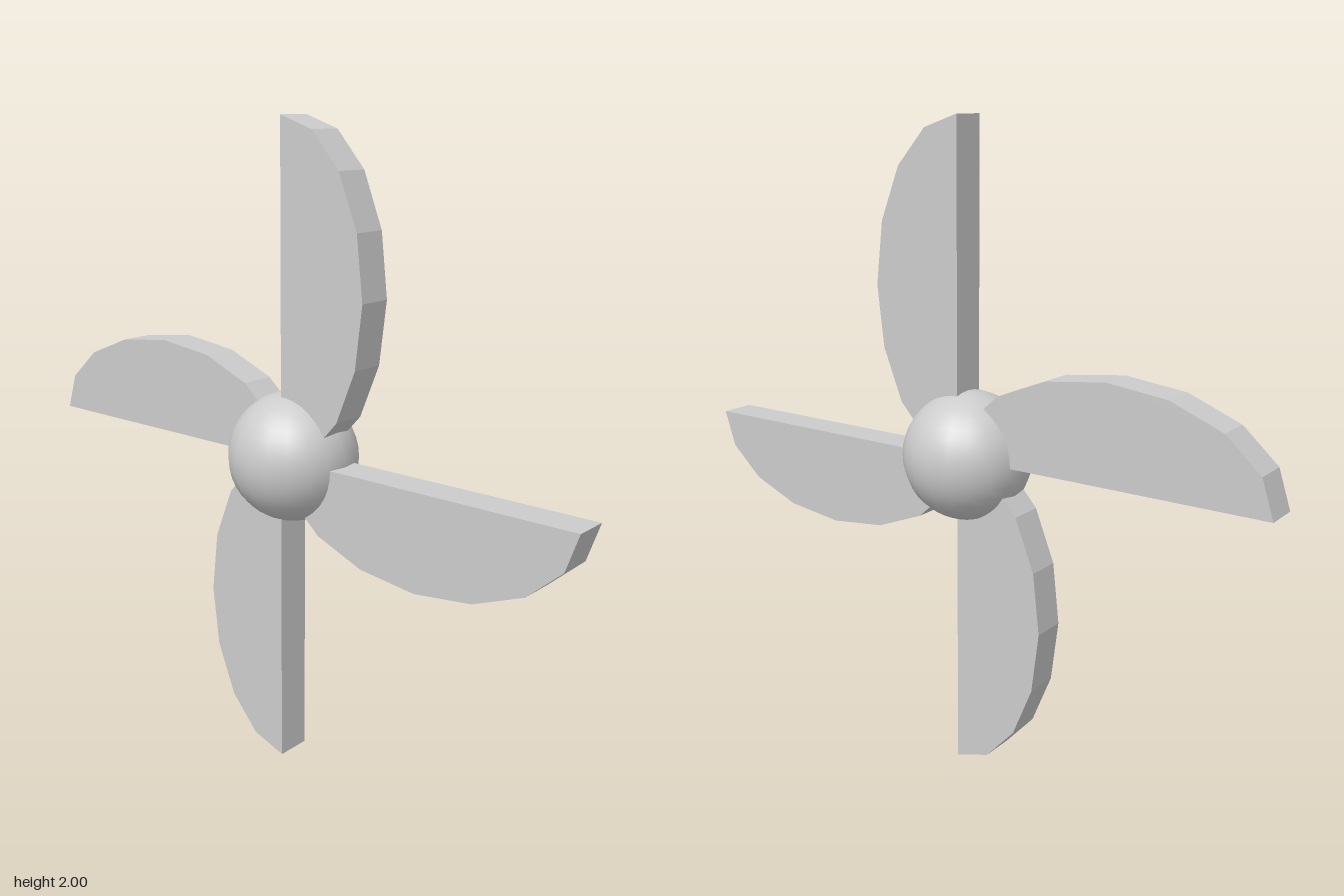
import * as THREE from 'three';

export function createModel() {
  const group = new THREE.Group();
  const material = new THREE.MeshStandardMaterial({ color: 0xcccccc });
  const flat = new THREE.MeshStandardMaterial({ color: 0xcccccc, flatShading: true });

  // Hub
  const hub = new THREE.Mesh(new THREE.SphereGeometry(0.2, 20, 20), material);
  hub.name = 'hub';
  hub.position.y = 1;
  group.add(hub);

  // Blade: a half ellipse in eight straight steps, running out from the hub centre
  const steps = 8, length = 1, width = 0.3, thickness = 0.112;
  const outline = [];
  for (let i = 0; i <= steps; i++) {
    const a = -Math.PI / 2 + (Math.PI * i) / steps;
    outline.push(new THREE.Vector2(width * Math.cos(a), (length / 2) * (1 + Math.sin(a))));
  }
  const bladeGeometry = new THREE.ExtrudeGeometry(new THREE.Shape(outline), {
    depth: thickness, bevelEnabled: false,
  });
  bladeGeometry.translate(0, 0, -thickness / 2);

  // Four blades at quarter turns
  for (let i = 0; i < 4; i++) {
    const blade = new THREE.Mesh(bladeGeometry, flat);
    blade.name = `blade${i + 1}`;
    blade.position.y = 1;
    blade.rotation.z = (-i * Math.PI) / 2;
    group.add(blade);
  }
  return group;
}
